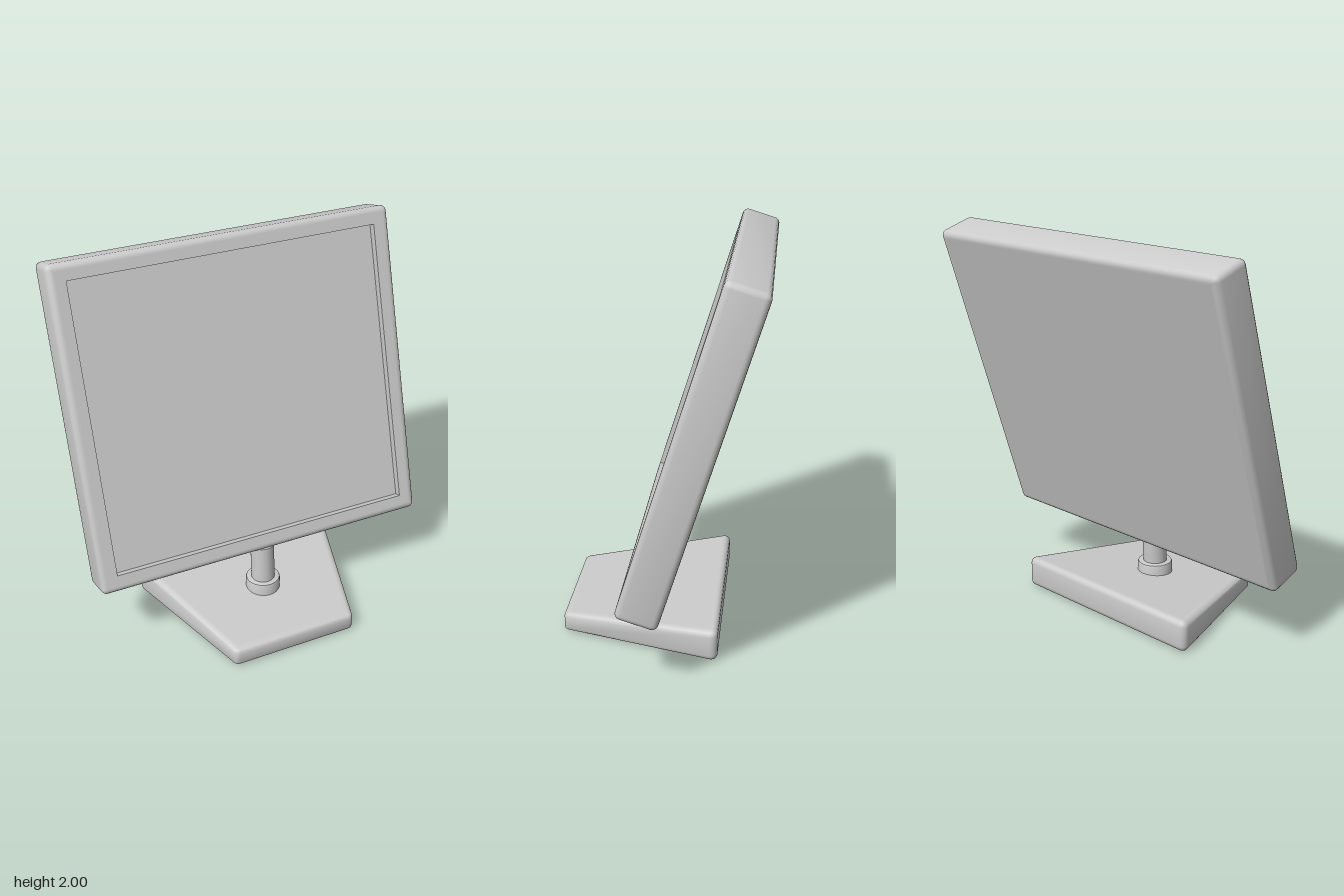
import * as THREE from 'three';
import { toCreasedNormals } from 'three/addons/utils/BufferGeometryUtils.js';

const STEPS = 4; // segments per rounded edge

// Ring of a convex counter-clockwise polygon: inset by d, then grown by r with round corners
function ring(corners, d, r, z) {
  const n = corners.length, points = [];
  const edgeAngle = (i) => {
    const [ax, ay] = corners[i % n], [bx, by] = corners[(i + 1) % n];
    return Math.atan2(-(bx - ax), by - ay);
  };
  corners.forEach(([x, y], i) => {
    const a = edgeAngle(i + n - 1);
    let turn = edgeAngle(i) - a;
    if (turn < 0) turn += Math.PI * 2;
    const k = d / Math.cos(turn / 2), mid = a + turn / 2;
    for (let s = 0; s <= STEPS; s++) {
      const t = a + (turn * s) / STEPS;
      points.push([x - k * Math.cos(mid) + r * Math.cos(t), y - k * Math.sin(mid) + r * Math.sin(t), z]);
    }
  });
  return points;
}

// Skin over successive rings
function loft(rings) {
  const m = rings[0].length, index = [];
  for (let j = 0; j < rings.length - 1; j++) {
    for (let i = 0; i < m; i++) {
      const k = (i + 1) % m, a = j * m, b = a + m;
      index.push(a + i, a + k, b + k, a + i, b + k, b + i);
    }
  }
  const geometry = new THREE.BufferGeometry();
  geometry.setAttribute('position', new THREE.Float32BufferAttribute(rings.flat(2), 3));
  geometry.setIndex(index);
  return geometry;
}

// Rings of a slab with rounded edges, back cap to front rim
function slabRings(corners, z0, z1, R) {
  const centre = (z) => ring(corners, 0, 0, z).map(() => [0, 0, z]);
  const rings = [centre(z0), ring(corners, R * 1.3, 0, z0)];
  for (let s = 0; s <= STEPS; s++) {
    const t = (s / STEPS) * Math.PI / 2;
    rings.push(ring(corners, R, R * Math.sin(t), z0 + R * (1 - Math.cos(t))));
  }
  for (let s = STEPS; s >= 0; s--) {
    const t = (s / STEPS) * Math.PI / 2;
    rings.push(ring(corners, R, R * Math.sin(t), z1 - R * (1 - Math.cos(t))));
  }
  rings.push(ring(corners, R * 1.3, 0, z1));
  return { rings, centre };
}

const rect = (w, h) => [[-w, -h], [w, -h], [w, h], [-w, h]];

export function createModel() {
  const model = new THREE.Group();
  const material = new THREE.MeshStandardMaterial({ color: 0xcccccc });
  const add = (name, geometry, parent = model) => {
    const mesh = new THREE.Mesh(geometry, material);
    mesh.name = name;
    parent.add(mesh);
    return mesh;
  };

  // Tilted display: rounded housing with a sharp-edged screen recess
  const display = new THREE.Group();
  display.name = 'display';
  display.position.set(0, 1.175, -0.177);
  display.rotation.x = -0.299;
  model.add(display);
  const front = 0.105, recess = 0.04;
  const opening = rect(0.822, 0.747);
  const housing = slabRings(rect(0.912, 0.835), -front, front, 0.03).rings;
  housing.push(ring(opening, 0, 0, front), ring(opening, 0, 0, front - recess));
  add('housing', toCreasedNormals(loft(housing), 0.6), display);
  add('screen', new THREE.PlaneGeometry(1.644, 1.494), display).position.z = front - recess;

  // Wedge foot: trapezoid plan, higher at the back
  const plan = [[-0.34, -0.515], [0.34, -0.515], [0.575, 0.295], [-0.575, 0.295]];
  const foot = slabRings(plan, 0, 0.167, 0.032);
  const footGeometry = loft([...foot.rings, foot.centre(0.167)]);
  footGeometry.rotateX(-Math.PI / 2);
  const p = footGeometry.attributes.position;
  for (let i = 0; i < p.count; i++) {
    p.setY(i, p.getY(i) * (0.1 + (0.515 - p.getZ(i)) * 0.083) / 0.167);
  }
  add('foot', toCreasedNormals(footGeometry, 0.6));

  // Collar with softened rim
  const profile = [[0, 0.1], [0.092, 0.1], [0.092, 0.185], [0.089, 0.193], [0.081, 0.196], [0, 0.196]]
    .map(([x, y]) => new THREE.Vector2(x, y));
  const collar = add('collar', toCreasedNormals(new THREE.LatheGeometry(profile, 40), 0.8));
  collar.position.z = 0.115;

  // Neck, leaning slightly back
  const neck = add('neck', new THREE.CylinderGeometry(0.063, 0.063, 0.25, 40));
  neck.position.set(0, 0.278, 0.111);
  neck.rotation.x = -0.06;

  return model;
}
